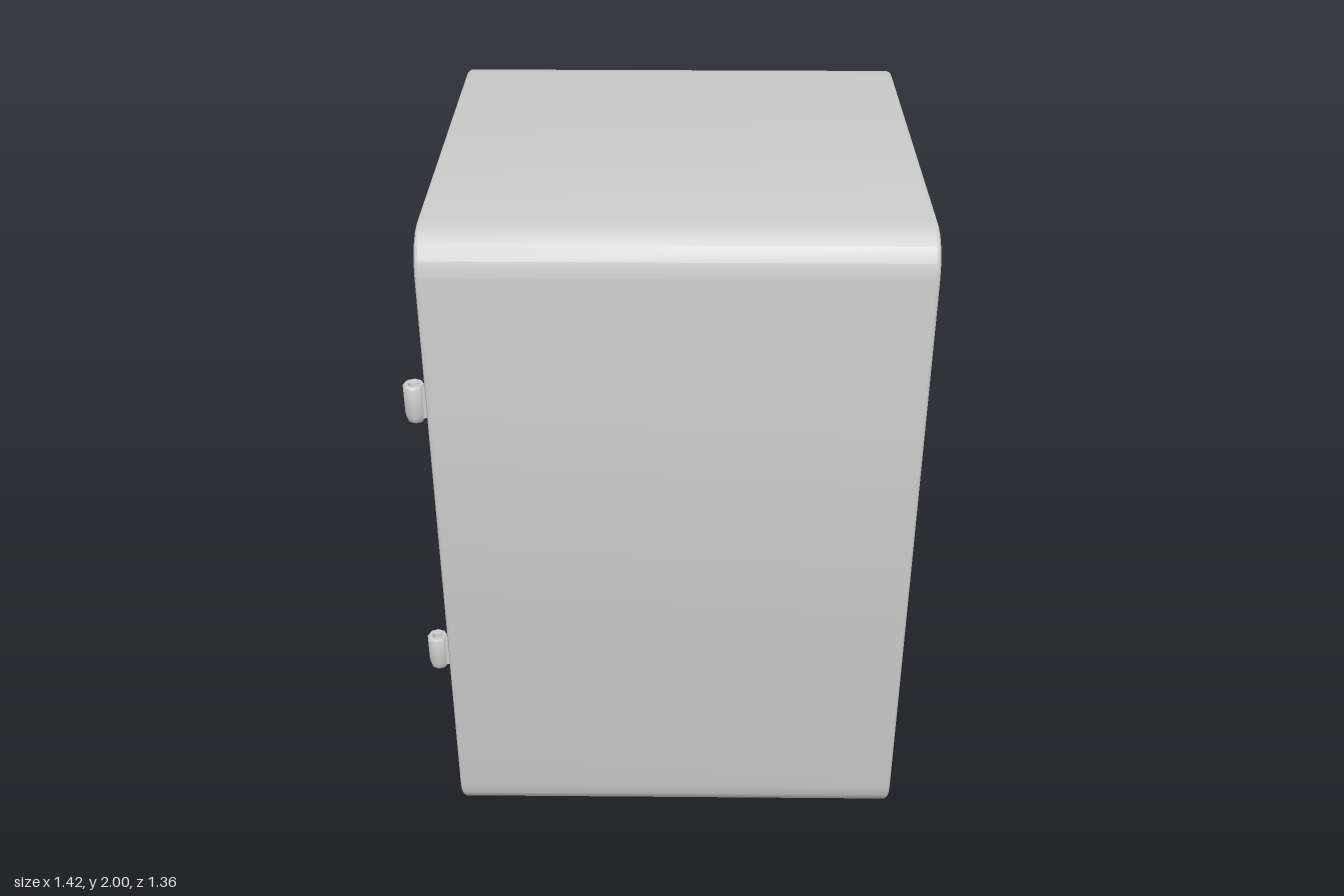
import * as THREE from 'three';
import { toCreasedNormals } from 'three/addons/utils/BufferGeometryUtils.js';

const material = new THREE.MeshStandardMaterial({ color: 0xcccccc });

// Rounded rectangle in the zy plane at a given x
function section([x, halfZ, halfY, r], steps = 4) {
  const points = [];
  [[1, 1], [-1, 1], [-1, -1], [1, -1]].forEach(([sz, sy], corner) => {
    for (let i = 0; i <= steps; i++) {
      const a = (corner + i / steps) * Math.PI / 2;
      points.push([x, 1 + sy * (halfY - r) + r * Math.sin(a), sz * (halfZ - r) + r * Math.cos(a)]);
    }
  });
  return points;
}

// Skin over a run of sections; a section of zero size closes an end
function loft(specs) {
  const loops = specs.map((s) => section(s));
  const positions = [];
  for (let s = 0; s < loops.length - 1; s++) {
    const n = loops[s].length;
    for (let i = 0; i < n; i++) {
      const j = (i + 1) % n;
      const a = loops[s][i], b = loops[s][j], c = loops[s + 1][i], d = loops[s + 1][j];
      if (specs[s][1] > 0) positions.push(...a, ...b, ...c);
      if (specs[s + 1][1] > 0) positions.push(...b, ...d, ...c);
    }
  }
  const geometry = new THREE.BufferGeometry();
  geometry.setAttribute('position', new THREE.Float32BufferAttribute(positions, 3));
  return toCreasedNormals(geometry, 0.5);
}

function addMesh(parent, name, geometry, x = 0, y = 0, z = 0) {
  const mesh = new THREE.Mesh(geometry, material);
  mesh.name = name;
  mesh.position.set(x, y, z);
  parent.add(mesh);
}

export function createModel() {
  const model = new THREE.Group();
  model.name = 'openCabinet';

  // Hollow body: closed end, outer skin, rim, cavity walls, cavity end
  addMesh(model, 'cabinetBody', loft([
    [0.71, 0, 0, 0],
    [0.71, 0.668, 0.988, 0.1],
    [0.706, 0.676, 0.996, 0.108],
    [0.698, 0.68, 1, 0.112],
    [-0.633, 0.68, 1, 0.112],
    [-0.641, 0.676, 0.996, 0.108],
    [-0.645, 0.668, 0.988, 0.1],
    [-0.645, 0.58, 0.835, 0.072],
    [-0.637, 0.574, 0.829, 0.066],
    [0.6, 0.574, 0.829, 0.066],
    [0.6, 0, 0, 0],
  ]));

  // Hinge sockets: tapered foot, straight barrel, blind pin hole
  const profile = [
    [0, 0], [0.02, 0], [0.026, 0.006], [0.03, 0.024], [0.03, 0.111], [0.026, 0.116],
    [0.017, 0.116], [0.014, 0.11], [0.012, 0.035], [0, 0.03],
  ].map(([x, y]) => new THREE.Vector2(x, y));
  const socket = toCreasedNormals(new THREE.LatheGeometry(profile, 8), 0.85);
  const tab = new THREE.BoxGeometry(0.035, 0.092, 0.032);
  [['lowerHinge', 0.546], ['upperHinge', 1.42]].forEach(([name, y]) => {
    const hinge = new THREE.Group();
    hinge.name = name;
    hinge.position.set(-0.684, y, 0.614);
    addMesh(hinge, 'hingeSocket', socket);
    addMesh(hinge, 'hingeTab', tab, 0.0335, 0.062, 0);
    model.add(hinge);
  });

  return model;
}
